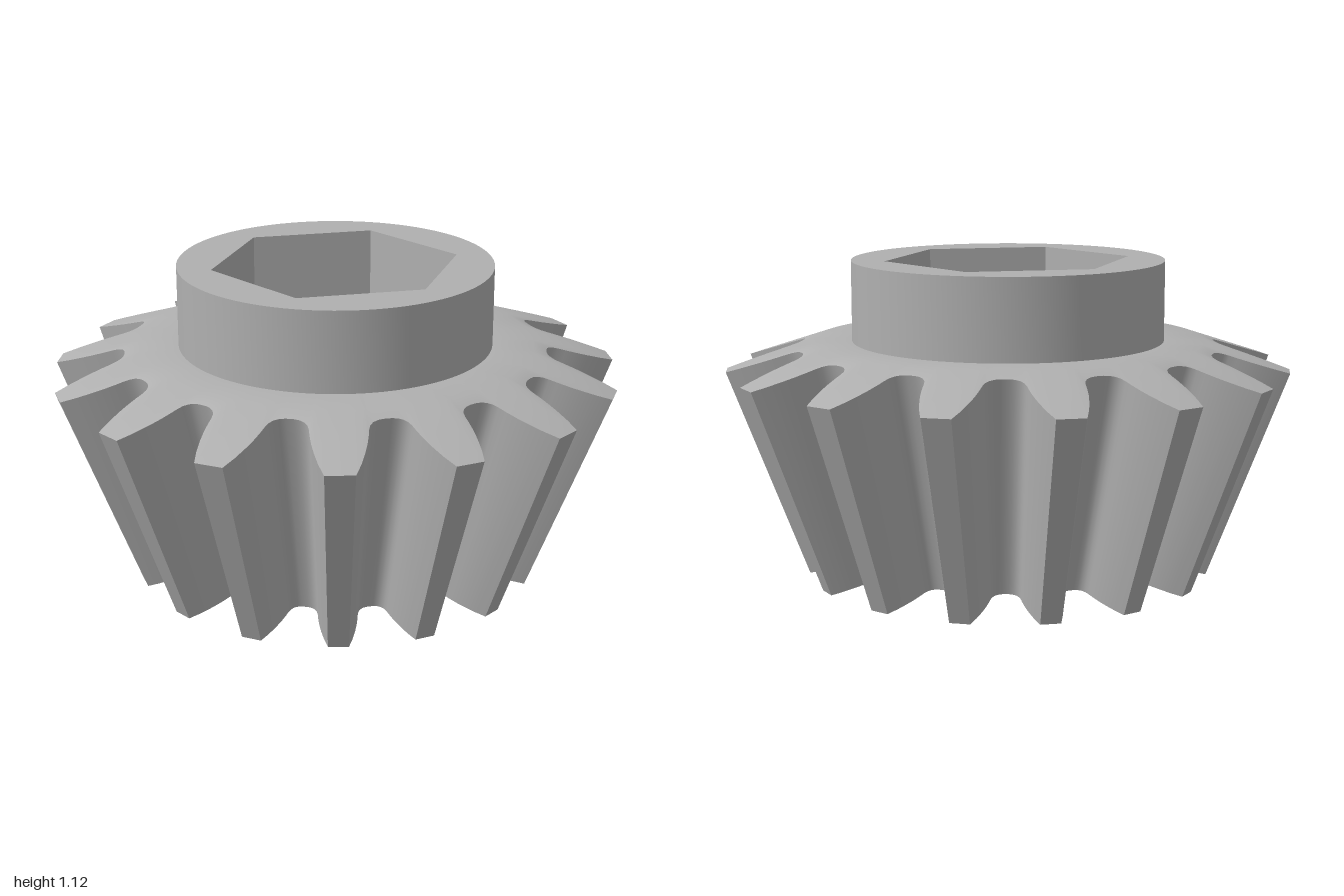
import * as THREE from 'three';
import { toCreasedNormals } from 'three/addons/utils/BufferGeometryUtils.js';

const TEETH = 15;
const PHASE = 3.8 * Math.PI / 180;
const SHRINK = 0.72; // small end of the teeth relative to the large end

// Half tooth outline at the large end: [radius, half width], root to tip
const FLANK = [
  [0.745, 0.142], [0.749, 0.124], [0.758, 0.109], [0.773, 0.099], [0.792, 0.095],
  [0.82, 0.093], [0.86, 0.088], [0.90, 0.080], [0.95, 0.067], [1.0, 0.049],
];

// Full outline as polar points, clockwise from the back seen from above
function gearOutline() {
  const pts = [];
  for (let i = 0; i < TEETH; i++) {
    const mid = PHASE + i * 2 * Math.PI / TEETH;
    for (const [r, w] of FLANK) pts.push({ r, t: mid - w / r });
    for (const [r, w] of [...FLANK].reverse()) pts.push({ r, t: mid + w / r });
  }
  return pts;
}

// Toothed shell: rings of points joined from the bottom bore edge up to the hub
function toothedShell() {
  const outline = gearOutline();
  const rings = [
    () => [0.47, 0.06],
    () => [0.50, 0.06],
    (r) => [r * SHRINK, (1 - r) * 0.2],
    (r) => [r, 0.74 + (1 - r) * 0.32],
    () => [0.70, 0.84],
    () => [0.54, 0.84],
  ];
  const n = outline.length;
  const pos = [], index = [];
  for (const ring of rings) {
    for (const { r, t } of outline) {
      const [rad, y] = ring(r);
      pos.push(rad * Math.sin(t), y, -rad * Math.cos(t));
    }
  }
  for (let k = 0; k < rings.length - 1; k++) {
    for (let i = 0; i < n; i++) {
      const j = (i + 1) % n;
      const a = k * n, b = a + n;
      index.push(a + j, a + i, b + i, a + j, b + i, b + j);
    }
  }
  const g = new THREE.BufferGeometry();
  g.setAttribute('position', new THREE.Float32BufferAttribute(pos, 3));
  g.setIndex(index);
  return toCreasedNormals(g, 0.6);
}

// Upright round collar with a hexagonal bore
function hexCollar(radius, y0, y1) {
  const shape = new THREE.Shape();
  shape.absarc(0, 0, radius, 0, Math.PI * 2, false);
  const corners = [];
  for (let i = 0; i < 6; i++) {
    const a = -PHASE - i * Math.PI / 3;
    corners.push(new THREE.Vector2(0.44 * Math.cos(a), 0.44 * Math.sin(a)));
  }
  shape.holes.push(new THREE.Path(corners));
  const g = new THREE.ExtrudeGeometry(shape, { depth: y1 - y0, bevelEnabled: false, curveSegments: 72 });
  g.rotateX(-Math.PI / 2);
  g.translate(0, y0, 0);
  return toCreasedNormals(g, 0.6);
}

export function createModel() {
  const steel = new THREE.MeshStandardMaterial({ color: 0xb0b0b0 });
  steel.name = 'steel grey';
  const group = new THREE.Group();
  group.name = 'bevelGear';
  const add = (name, geometry) => {
    const mesh = new THREE.Mesh(geometry, steel);
    mesh.name = name;
    group.add(mesh);
  };
  add('gearTeeth', toothedShell());
  add('boreCore', hexCollar(0.49, 0.06, 0.835));
  add('hub', hexCollar(0.555, 0.835, 1.125));
  return group;
}
